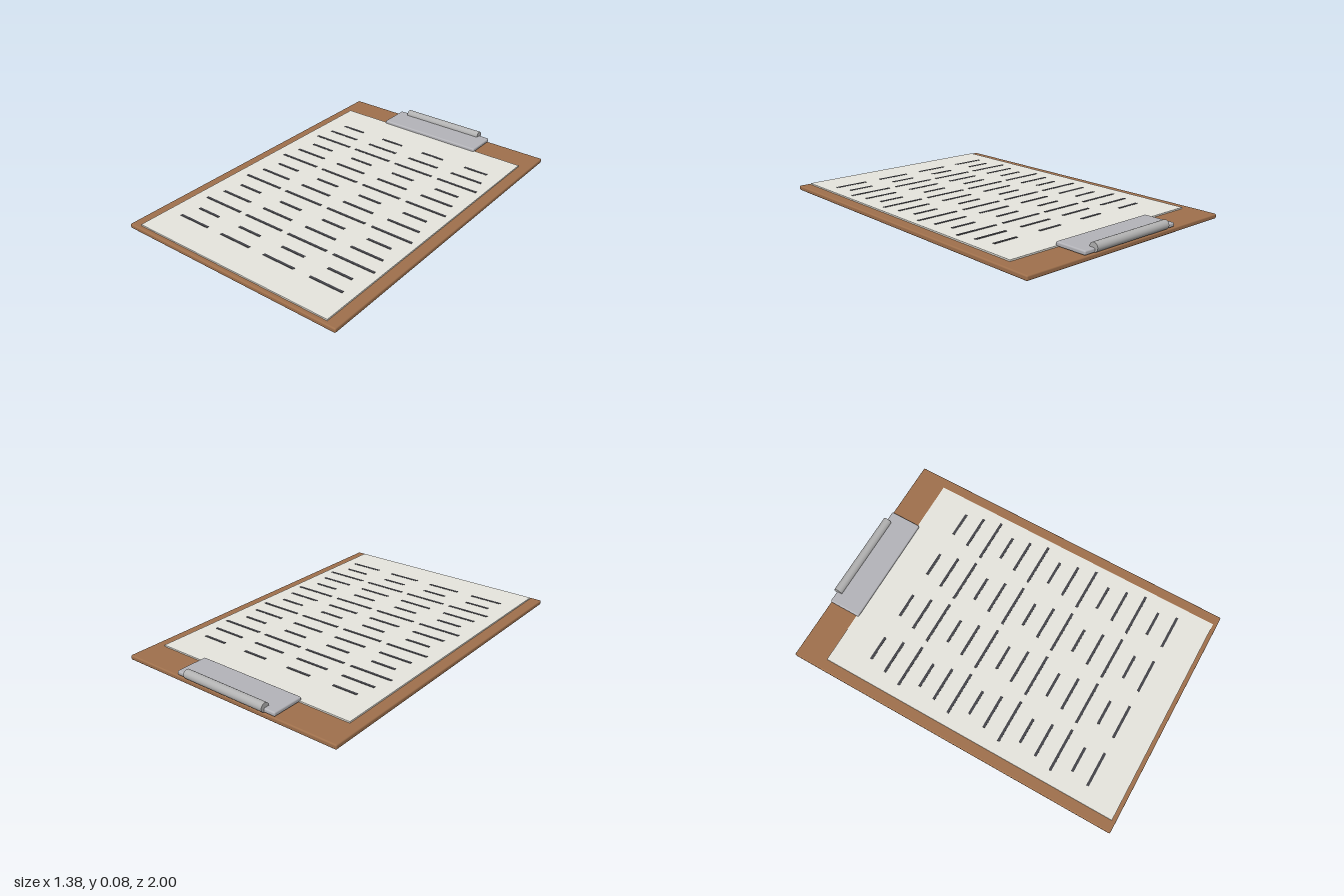
import * as THREE from 'three';
import { RoundedBoxGeometry } from 'three/addons/geometries/RoundedBoxGeometry.js';

const mat = (name, color) => {
  const m = new THREE.MeshStandardMaterial({ color });
  m.name = name;
  return m;
};

export function createModel() {
  const group = new THREE.Group();
  group.name = 'clipboard';
  const wood = mat('wood brown', 0x9f704c);
  const paper = mat('paper white', 0xeae9e1);
  const ink = mat('ink grey', 0x444449);
  const steel = mat('steel grey', 0xb4b4b9);
  const rod = mat('rod grey', 0xb2b2b2);

  const add = (name, geometry, material, x, y, z, parent = group) => {
    const mesh = new THREE.Mesh(geometry, material);
    mesh.name = name;
    mesh.position.set(x, y, z);
    parent.add(mesh);
    return mesh;
  };

  // Board with softened edges, and the sheet lying on it
  add('board', new RoundedBoxGeometry(1.382, 0.027, 1.986, 3, 0.008), wood, 0, 0.0135, 0.007);
  add('sheet', new THREE.BoxGeometry(1.256, 0.008, 1.786), paper, 0, 0.031, 0.084);

  // Four columns of writing, with lengths cycling short, medium, long
  const writing = new THREE.Group();
  writing.name = 'writing';
  group.add(writing);
  const lengths = [0.148, 0.2, 0.254].map((w) => new THREE.BoxGeometry(w, 0.003, 0.015));
  for (let row = 0; row < 14; row++) {
    for (let col = 0; col < 4; col++) {
      add('writingLine', lengths[row % 3], ink, -0.432 + col * 0.298, 0.0355, -0.595 + row * 0.106, writing);
    }
  }

  // Metal clip: flat plate and the spring barrel along its rear edge
  add('clipPlate', new RoundedBoxGeometry(0.658, 0.024, 0.187, 3, 0.008), steel, 0, 0.041, -0.889);
  const barrel = new THREE.CylinderGeometry(0.0255, 0.0255, 0.526, 24);
  barrel.rotateZ(Math.PI / 2);
  add('clipBarrel', barrel, rod, 0, 0.054, -0.9745);

  return group;
}
